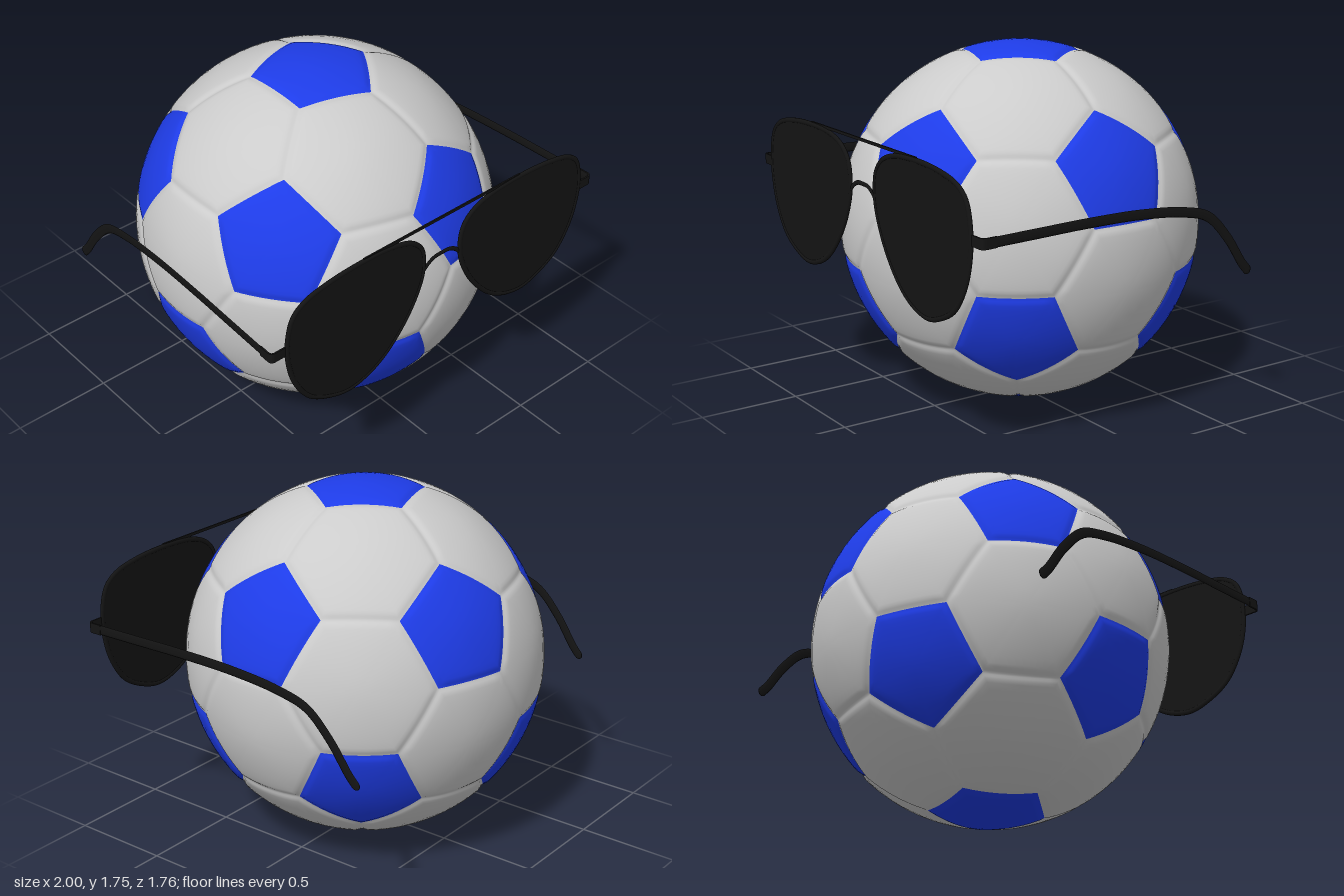
import * as THREE from 'three';
import { mergeVertices, mergeGeometries } from 'three/addons/utils/BufferGeometryUtils.js';

const R = 0.877;
const CENTRE = new THREE.Vector3(0, R, -0.005);
const FRONT = 0.873; // plane of the sunglasses
const HINGE_Y = 1.105;

const grey = new THREE.MeshStandardMaterial({ color: 0xcccccc });
const blue = new THREE.MeshStandardMaterial({ color: 0x1e3ce8 });
const black = new THREE.MeshStandardMaterial({ color: 0x141414 });

function part(name, geometry, material) {
  const mesh = new THREE.Mesh(geometry, material);
  mesh.name = name;
  return mesh;
}

// Icosahedron corners: two poles and two staggered rings
function icosahedronCorners() {
  const h = 1 / Math.sqrt(5), r = 2 / Math.sqrt(5);
  const corners = [new THREE.Vector3(0, 1, 0), new THREE.Vector3(0, -1, 0)];
  for (let i = 0; i < 5; i++) {
    const a = (i * Math.PI * 2) / 5;
    corners.push(new THREE.Vector3(r * Math.cos(a), h, r * Math.sin(a)));
    corners.push(new THREE.Vector3(-r * Math.cos(a), -h, -r * Math.sin(a)));
  }
  return corners;
}

// One spherical panel, dipping into a soft seam along its border
function panelGeometry(corners) {
  const centre = new THREE.Vector3();
  corners.forEach(c => centre.add(c));
  centre.divideScalar(corners.length);
  const axis = centre.clone().normalize();
  const u = corners[0].clone().sub(centre).normalize();
  const v = axis.clone().cross(u);
  const angle = c => Math.atan2(c.clone().sub(centre).dot(v), c.clone().sub(centre).dot(u));
  const loop = [...corners].sort((a, b) => angle(a) - angle(b));
  const apothem = loop[0].clone().lerp(loop[1], 0.5).distanceTo(centre) * R;

  const rings = [0, 0.2, 0.4, 0.6, 0.75, 0.85, 0.9, 0.94, 0.97, 1];
  const steps = 8, around = loop.length * steps;
  const positions = [], index = [];
  rings.forEach((t, row) => {
    const gap = ((1 - t) * apothem) / 0.018;
    const radius = R - 0.009 * Math.exp(-gap * gap);
    for (let k = 0; k < around; k++) {
      const side = Math.floor(k / steps);
      const p = loop[side].clone().lerp(loop[(side + 1) % loop.length], (k % steps) / steps);
      p.lerpVectors(centre, p.clone(), t).setLength(radius).add(CENTRE);
      positions.push(p.x, p.y, p.z);
      if (row === 0) continue;
      const a = (row - 1) * around + k, b = (row - 1) * around + ((k + 1) % around);
      if (row > 1) index.push(a, b + around, b);
      index.push(a, a + around, b + around);
    }
  });
  const g = new THREE.BufferGeometry();
  g.setAttribute('position', new THREE.Float32BufferAttribute(positions, 3));
  g.setIndex(index);
  return g;
}

function makeBall() {
  const ball = new THREE.Group();
  ball.name = 'ball';
  const ico = icosahedronCorners();
  const near = (a, b) => a !== b && a.distanceTo(b) < 1.1;
  const third = (a, b) => a.clone().lerp(b, 1 / 3);

  // Pentagons sit on the corners, hexagons on the faces
  const pentagons = ico.map(c => panelGeometry(ico.filter(n => near(c, n)).map(n => third(c, n))));
  const hexagons = [];
  for (let i = 0; i < 12; i++) for (let j = i + 1; j < 12; j++) for (let k = j + 1; k < 12; k++) {
    const [a, b, c] = [ico[i], ico[j], ico[k]];
    if (!near(a, b) || !near(b, c) || !near(a, c)) continue;
    hexagons.push(panelGeometry([third(a, b), third(b, a), third(b, c), third(c, b), third(c, a), third(a, c)]));
  }
  const smooth = list => {
    const g = mergeVertices(mergeGeometries(list), 1e-5);
    g.computeVertexNormals();
    return g;
  };
  ball.add(part('pentagonPanels', smooth(pentagons), blue));
  ball.add(part('hexagonPanels', smooth(hexagons), grey));
  return ball;
}

// Teardrop lens outline for the +x side
const LENS = [
  [0.92, 1.14], [0.885, 1.275], [0.815, 1.33], [0.68, 1.362], [0.47, 1.375], [0.28, 1.36],
  [0.175, 1.32], [0.115, 1.25], [0.105, 1.115], [0.15, 0.98], [0.23, 0.85], [0.335, 0.74],
  [0.44, 0.68], [0.56, 0.657], [0.68, 0.69], [0.79, 0.757], [0.87, 0.875], [0.91, 1.0],
];

// Lens, rim, hinge and temple of one side (s = +1 or -1)
function makeSide(s) {
  const side = new THREE.Group();
  side.name = s > 0 ? 'leftSide' : 'rightSide';

  const outline = new THREE.CatmullRomCurve3(
    LENS.map(([x, y]) => new THREE.Vector3(s * (0.515 + (x - 0.515) * 0.97), 1.03 + (y - 1.03) * 0.97, 0)), true);
  const lensShape = new THREE.Shape(outline.getPoints(90).slice(0, -1).map(p => new THREE.Vector2(p.x, p.y)));
  const lens = new THREE.ExtrudeGeometry(lensShape, { depth: 0.012, bevelEnabled: false });
  side.add(part('lens', lens.translate(0, 0, FRONT - 0.006), black));
  const rim = new THREE.TubeGeometry(outline, 120, 0.013, 10, true);
  side.add(part('rim', rim.scale(1, 1, 0.75).translate(0, 0, FRONT), black));

  // Hinge: a flat strip bent round the corner
  const strip = new THREE.Shape();
  strip.moveTo(s * 0.9, 0.877);
  strip.lineTo(s * 0.975, 0.877);
  strip.quadraticCurveTo(s * 1, 0.877, s * 1, 0.852);
  strip.lineTo(s * 0.998, 0.8);
  strip.lineTo(s * 0.99, 0.8);
  strip.lineTo(s * 0.992, 0.852);
  strip.quadraticCurveTo(s * 0.992, 0.869, s * 0.975, 0.869);
  strip.lineTo(s * 0.9, 0.869);
  const hinge = new THREE.ExtrudeGeometry(strip, { depth: 0.05, bevelEnabled: false });
  side.add(part('hinge', hinge.rotateX(Math.PI / 2).translate(0, HINGE_Y + 0.025, 0), black));

  // Temple: a flattened tube leaning inwards to the back
  const path = new THREE.CatmullRomCurve3([
    [HINGE_Y, 0.85], [HINGE_Y, 0.6], [HINGE_Y, 0.31], [1.095, 0], [1.065, -0.26],
    [1.02, -0.41], [0.9, -0.535], [0.76, -0.635], [0.722, -0.67],
  ].map(([y, z]) => new THREE.Vector3(0, y, z)));
  const tip = new THREE.SphereGeometry(0.024, 12, 8).translate(0, 0.722, -0.67);
  const temple = mergeGeometries([new THREE.TubeGeometry(path, 80, 0.024, 10), tip]);
  const pos = temple.attributes.position;
  for (let i = 0; i < pos.count; i++) {
    const lean = 0.925 + 0.07 * (pos.getZ(i) + 0.7) / 1.55;
    pos.setX(i, pos.getX(i) * 0.17 + s * lean);
  }
  temple.computeVertexNormals();
  side.add(part('temple', temple, black));
  return side;
}

function makeSunglasses() {
  const glasses = new THREE.Group();
  glasses.name = 'sunglasses';
  glasses.add(makeSide(1), makeSide(-1));

  const arch = new THREE.CatmullRomCurve3([
    [-0.115, 1.115], [-0.09, 1.14], [-0.05, 1.163], [0, 1.167], [0.05, 1.163], [0.09, 1.14], [0.115, 1.115],
  ].map(([x, y]) => new THREE.Vector3(x, y, 0)));
  const bridge = new THREE.TubeGeometry(arch, 32, 0.011, 8);
  glasses.add(part('bridge', bridge.scale(1, 1, 0.5).translate(0, 0, FRONT), black));
  const bar = new THREE.BoxGeometry(0.96, 0.014, 0.007);
  glasses.add(part('browBar', bar.translate(0, 1.374, FRONT), black));
  return glasses;
}

export function createModel() {
  const model = new THREE.Group();
  model.name = 'ballWithSunglasses';
  model.add(makeBall(), makeSunglasses());
  return model;
}
